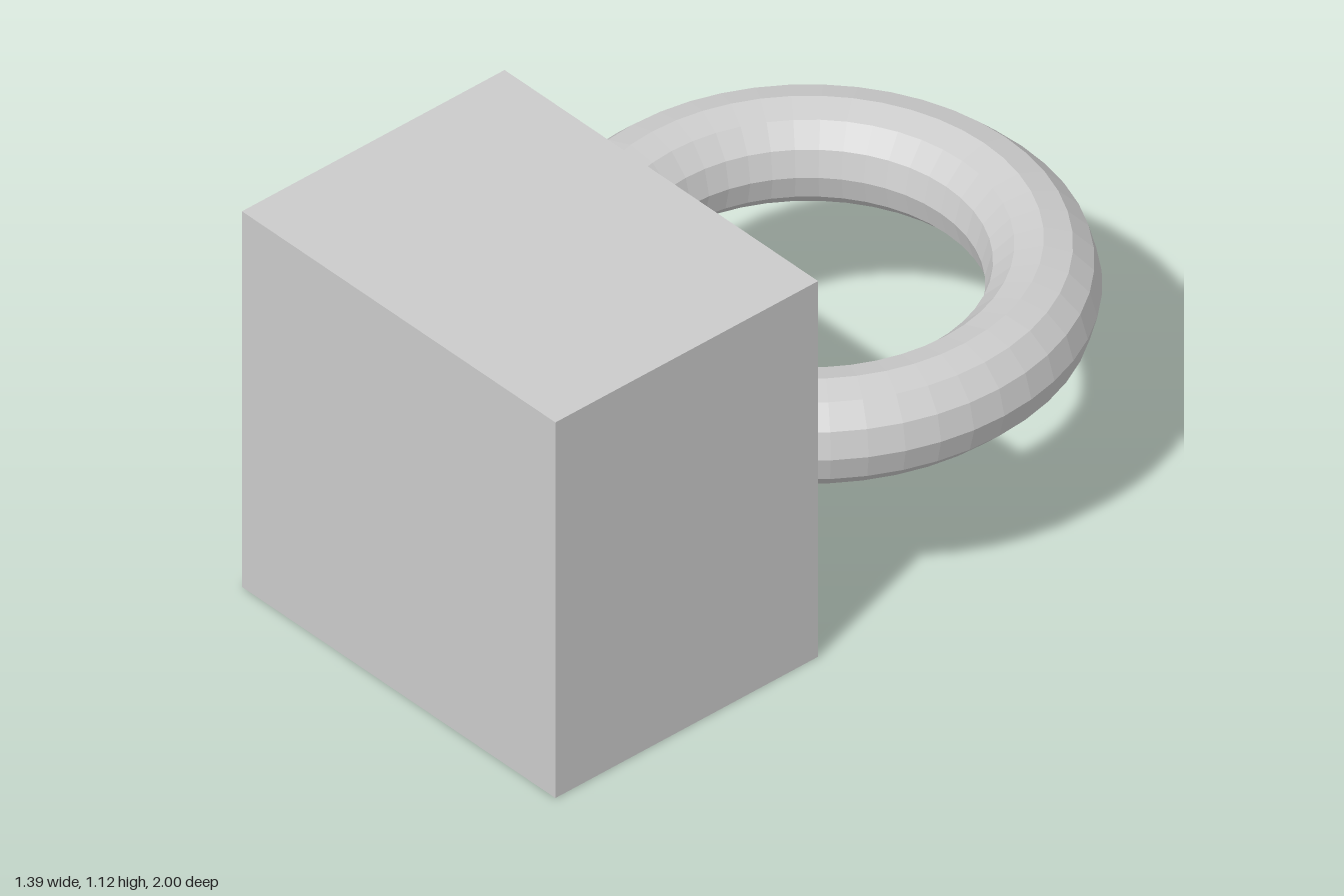
import * as THREE from 'three';

export function createModel() {
  const model = new THREE.Group();
  const material = new THREE.MeshStandardMaterial({ color: 0xcccccc, flatShading: true });

  // Solid block at the front
  const block = new THREE.Mesh(new THREE.BoxGeometry(1.115, 1.115, 0.835), material);
  block.name = 'block';
  block.position.set(0, 0.5575, 0.5825);
  model.add(block);

  // Faceted ring lying flat, its front sunk into the back of the block
  const ring = new THREE.Mesh(new THREE.TorusGeometry(0.5575, 0.139, 12, 48), material);
  ring.name = 'ring';
  ring.rotation.x = Math.PI / 2;
  ring.position.set(0, 0.5575, -0.3035);
  model.add(ring);

  return model;
}
